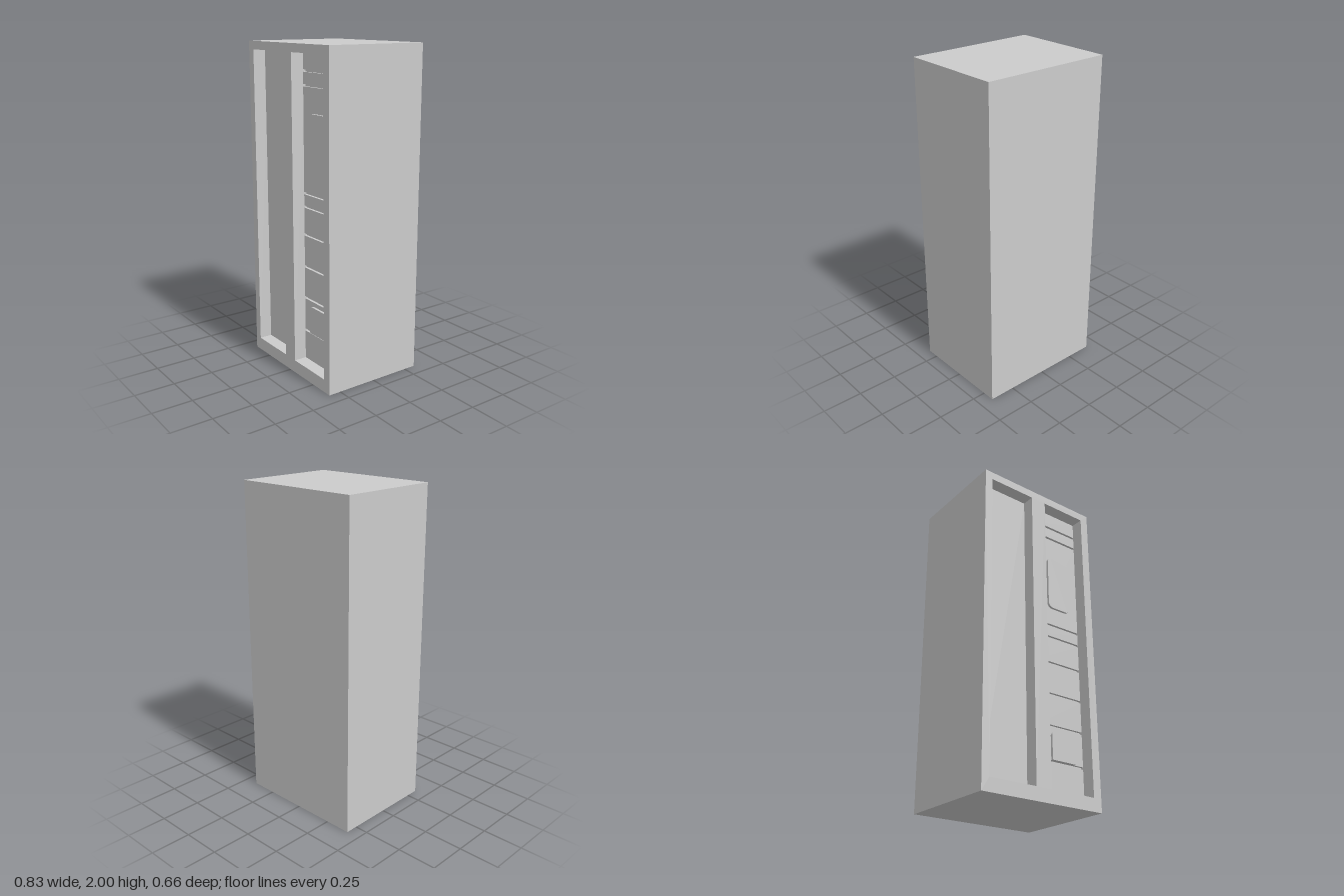
import * as THREE from 'three';

const W = 0.83, H = 2, D = 0.655;
const FRONT = D / 2, PANEL = FRONT - 0.08, GROOVE = PANEL - 0.016;
const Y0 = 0.08, Y1 = 1.95;
const OPENINGS = [[-0.365, -0.055], [0.05, 0.36]];

const material = new THREE.MeshStandardMaterial({ color: 0xcccccc });

// Box given by its minimum and maximum corners
function box(name, x0, x1, y0, y1, z0, z1) {
  const mesh = new THREE.Mesh(new THREE.BoxGeometry(x1 - x0, y1 - y0, z1 - z0), material);
  mesh.position.set((x0 + x1) / 2, (y0 + y1) / 2, (z0 + z1) / 2);
  mesh.name = name;
  return mesh;
}

function rectangle(path, x0, x1, y0, y1) {
  path.moveTo(x0, y0);
  path.lineTo(x1, y0);
  path.lineTo(x1, y1);
  path.lineTo(x0, y1);
  path.closePath();
  return path;
}

// Raised plate with rounded top corners; rb is the bottom corner radius
function plate(name, x0, x1, y0, y1, r, rb) {
  const s = new THREE.Shape();
  s.moveTo(x0 + rb, y0);
  s.lineTo(x1 - rb, y0);
  if (rb) s.absarc(x1 - rb, y0 + rb, rb, -Math.PI / 2, 0);
  s.lineTo(x1, y1 - r);
  s.absarc(x1 - r, y1 - r, r, 0, Math.PI / 2);
  s.lineTo(x0 + r, y1);
  s.absarc(x0 + r, y1 - r, r, Math.PI / 2, Math.PI);
  s.lineTo(x0, y0 + rb);
  if (rb) s.absarc(x0 + rb, y0 + rb, rb, Math.PI, Math.PI * 1.5);
  const mesh = new THREE.Mesh(
    new THREE.ExtrudeGeometry(s, { depth: 0.015, bevelEnabled: false, curveSegments: 8 }), material);
  mesh.position.z = PANEL;
  mesh.name = name;
  return mesh;
}

export function createModel() {
  const group = new THREE.Group();
  group.name = 'cabinet';

  // Solid cabinet behind the front frame
  group.add(box('cabinetBody', -W / 2, W / 2, 0, H, -D / 2, GROOVE));

  // Front frame with two tall openings
  const outline = rectangle(new THREE.Shape(), -W / 2, W / 2, 0, H);
  for (const [x0, x1] of OPENINGS) outline.holes.push(rectangle(new THREE.Path(), x0, x1, Y0, Y1));
  const frame = new THREE.Mesh(
    new THREE.ExtrudeGeometry(outline, { depth: FRONT - GROOVE, bevelEnabled: false }), material);
  frame.position.z = GROOVE;
  frame.name = 'frontFrame';
  group.add(frame);

  // Plain recessed panel on one side
  const [[px0, px1], [x0, x1]] = OPENINGS;
  group.add(box('plainPanel', px0, px1, Y0, Y1, GROOVE, PANEL));

  // Stack of panels separated by narrow grooves on the other
  const gap = 0.007;
  const grooves = [0.267, 0.479, 0.678, 0.879, 1.051, 1.133, 1.764, 1.846];
  const edges = [Y0 - gap, ...grooves, Y1 + gap];
  const stack = new THREE.Group();
  stack.name = 'panelStack';
  for (let i = 0; i < edges.length - 1; i++) {
    stack.add(box('stackPanel', x0, x1, edges[i] + gap, edges[i + 1] - gap, GROOVE, PANEL));
  }
  group.add(stack);

  // Raised plates
  group.add(plate('upperPlate', 0.12, 0.29, 1.25, 1.61, 0.035, 0.035));
  group.add(plate('lowerPlate', 0.12, 0.29, 0.274, 0.445, 0.025, 0));

  return group;
}
